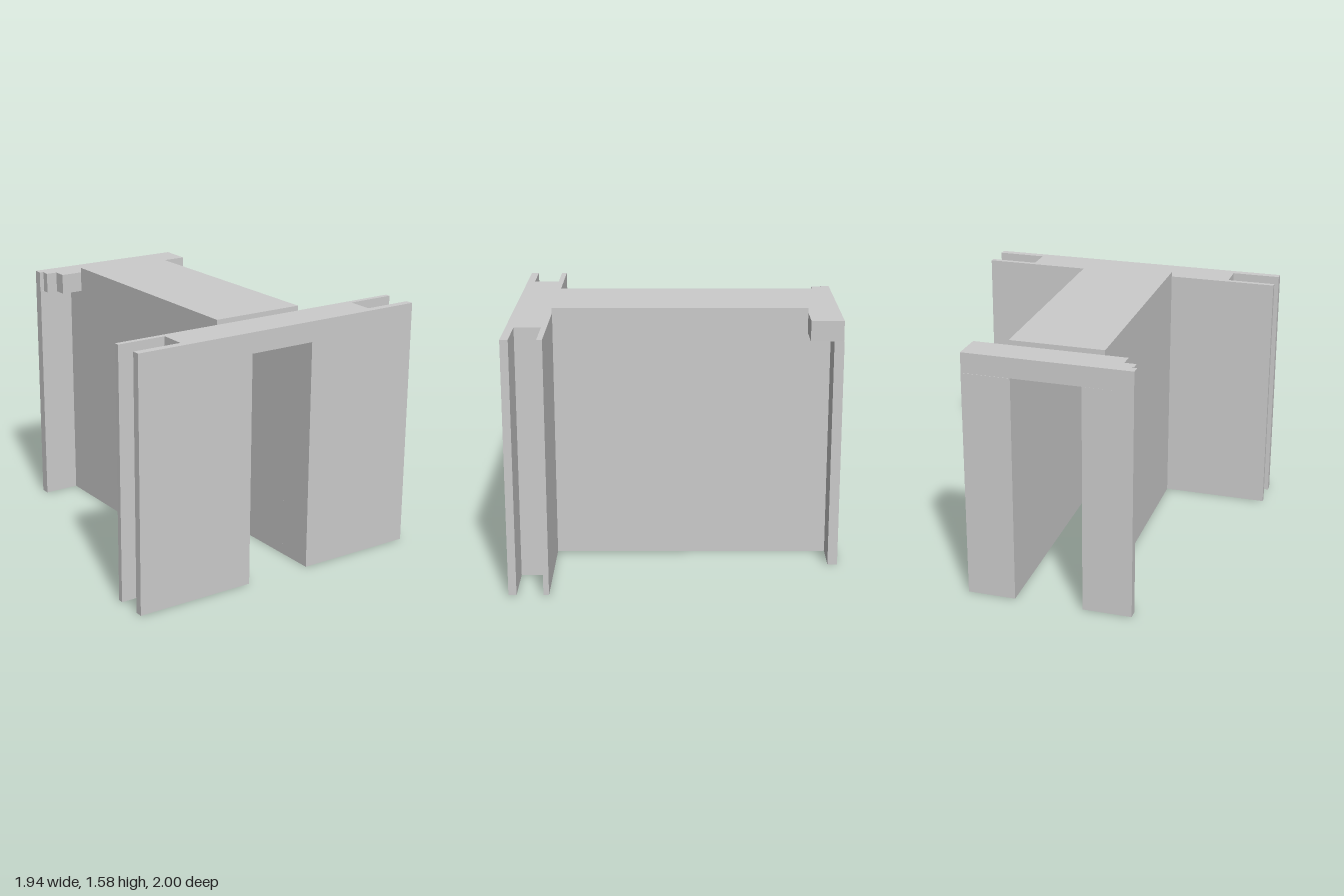
import * as THREE from 'three';

const DOOR = 1.425, WALL = 1.55, ROOF = 1.58;
const material = new THREE.MeshStandardMaterial({ color: 0xcccccc, flatShading: true });

// The passage runs very slightly askew: inner and outer wall lines at depth z
const inner = (side, z) => -0.0095 + side * 0.213 + 0.008 * z;
const outer = (side, z) => -0.011 + side * 0.29 + 0.008 * z;

// Upright prism from a plan outline of [x, z] points
function prism(name, plan, y0, y1) {
  const shape = new THREE.Shape(plan.map(([x, z]) => new THREE.Vector2(x, -z)));
  const geometry = new THREE.ExtrudeGeometry(shape, { depth: y1 - y0, bevelEnabled: false });
  geometry.rotateX(-Math.PI / 2).translate(0, y0, 0);
  const mesh = new THREE.Mesh(geometry, material);
  mesh.name = name;
  return mesh;
}

export function createModel() {
  const model = new THREE.Group();
  model.name = 'passage';
  const frontZ = 0.755, backZ = -0.94;

  for (const side of [-1, 1]) {
    const label = side > 0 ? 'left' : 'right';
    const tilt = ([x, z]) => [x, z - 0.004 * x];

    // Front wall half with a slot open at its outer end
    model.add(prism(label + 'FrontWall', [
      [inner(side, 0.994), 0.994], [side * 0.972, 0.994], [side * 0.972, 0.946],
      [side * 0.67, 0.946], [side * 0.67, 0.787], [side * 0.972, 0.787],
      [side * 0.972, 0.754], [inner(side, 0.754), 0.754],
    ].map(tilt), 0, DOOR));

    // Long side wall of the passage
    model.add(prism(label + 'PassageWall', [
      [inner(side, frontZ), frontZ], [outer(side, frontZ), frontZ],
      [outer(side, backZ), backZ], [inner(side, backZ), backZ],
    ], 0, DOOR));

    // Thin back jamb
    const edge = side > 0 ? 0.495 : -0.535;
    model.add(prism(label + 'BackJamb', [
      [inner(side, backZ), backZ], [edge, backZ], [edge, -1], [inner(side, -1), -1],
    ], 0, DOOR));
  }

  // Front lintel, carrying both slots up to the top
  const half = [[0.972, 0.994], [0.972, 0.946], [0.67, 0.946], [0.67, 0.787], [0.972, 0.787], [0.972, 0.754]];
  const lintel = [...half, ...half.map(([x, z]) => [-x, z]).reverse()];
  model.add(prism('frontLintel', lintel.map(([x, z]) => [x, z - 0.004 * x]), DOOR, WALL));

  // Passage roof, slightly higher than the end walls
  model.add(prism('passageRoof', [
    [outer(-1, frontZ), frontZ], [outer(1, frontZ), frontZ],
    [outer(1, -0.8), -0.8], [outer(-1, -0.8), -0.8],
  ], DOOR, ROOF));

  // Deep back header with a stepped end
  model.add(prism('backHeader', [
    [-0.535, -1], [-0.535, -0.945], [-0.507, -0.945], [-0.507, -0.93], [-0.515, -0.93],
    [-0.515, -0.883], [-0.445, -0.883], [-0.445, -0.8], [0.492, -0.8], [0.495, -0.997],
  ], DOOR, WALL));

  return model;
}
